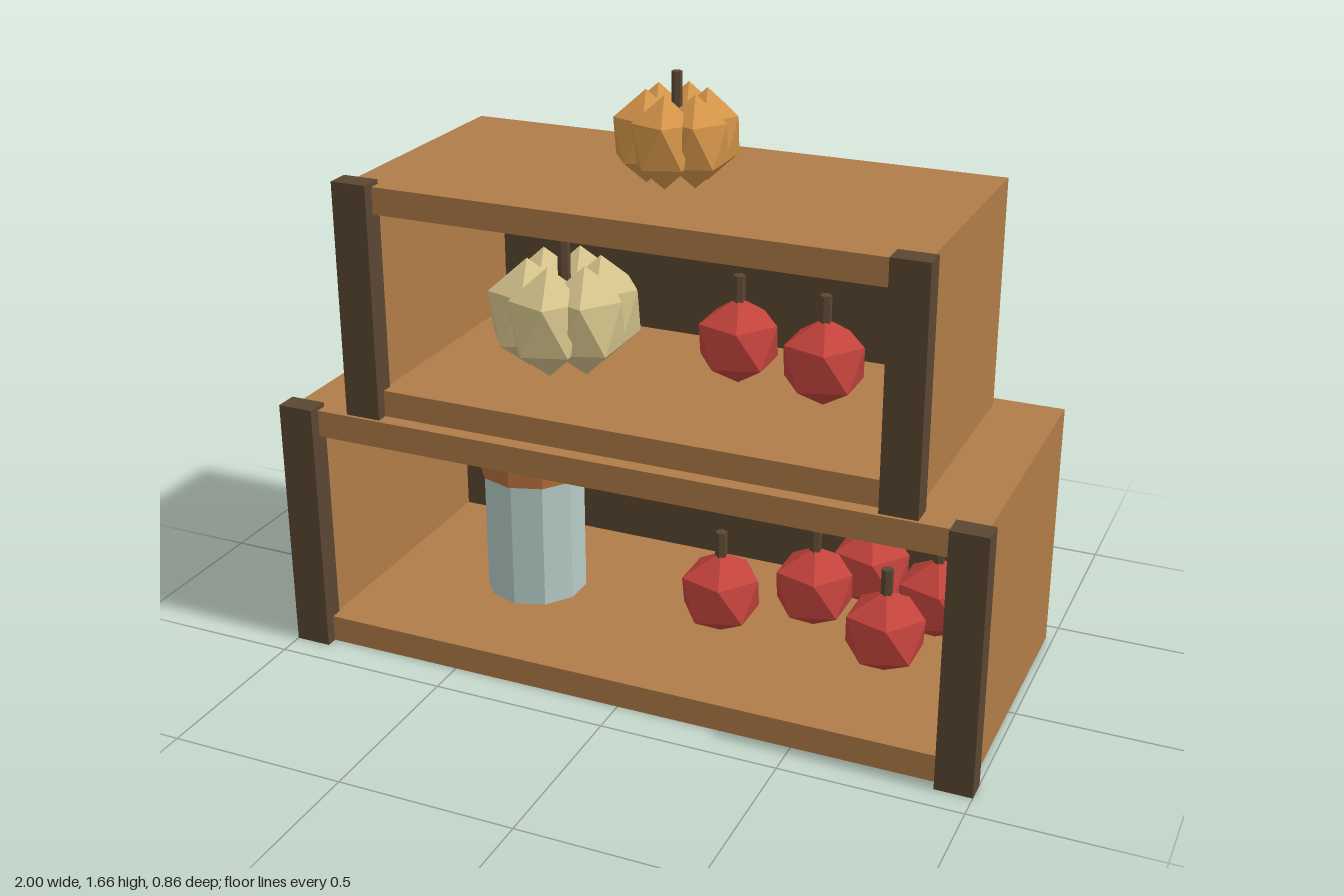
import * as THREE from 'three';
import { ConvexGeometry } from 'three/addons/geometries/ConvexGeometry.js';

const mat = (name, color) => {
  const m = new THREE.MeshStandardMaterial({ color, flatShading: true });
  m.name = name;
  return m;
};

export function createModel() {
  const root = new THREE.Group();
  root.name = 'produceShelf';
  const wood = mat('wood', 0xb17c49);
  const darkWood = mat('darkWood', 0x5a4632);
  const red = mat('appleRed', 0xc5443c);
  const orange = mat('pumpkinOrange', 0xd6964a);
  const cream = mat('gourdCream', 0xd5c48c);
  const glass = mat('glass', 0xb4cbc6);
  const lidWood = mat('lidWood', 0xb06c39);

  const add = (parent, name, geo, material, x = 0, y = 0, z = 0) => {
    const m = new THREE.Mesh(geo, material);
    m.name = name;
    m.position.set(x, y, z);
    parent.add(m);
    return m;
  };

  const group = (name, x = 0, y = 0, z = 0) => {
    const g = new THREE.Group();
    g.name = name;
    g.position.set(x, y, z);
    root.add(g);
    return g;
  };

  // Twelve-point faceted ball with its tips on the vertical axis
  const facetBall = (rx, ry) => {
    const pts = [new THREE.Vector3(0, ry, 0), new THREE.Vector3(0, -ry, 0)];
    const k = 1 / Math.sqrt(5);
    for (let i = 0; i < 5; i++) {
      for (const s of [1, -1]) {
        const a = (i * 2 + (s < 0 ? 1 : 0)) * Math.PI / 5;
        pts.push(new THREE.Vector3(2 * k * rx * Math.cos(a), s * k * ry, 2 * k * rx * Math.sin(a)));
      }
    }
    return new ConvexGeometry(pts);
  };

  const stem = (parent, r, y0, y1) =>
    add(parent, 'stem', new THREE.CylinderGeometry(r, r, y1 - y0, 6), darkWood, 0, (y0 + y1) / 2, 0);

  // Open crate: hollow frame, back panel and two front posts
  const crate = (name, o) => {
    const g = group(name, 0, o.y, 0);
    const rect = (P, x, y0, y1) => {
      const p = new P();
      p.moveTo(-x, y0);
      p.lineTo(x, y0);
      p.lineTo(x, y1);
      p.lineTo(-x, y1);
      p.closePath();
      return p;
    };
    const shape = rect(THREE.Shape, o.w, 0, o.h);
    shape.holes.push(rect(THREE.Path, o.w - o.t, o.t, o.h - o.t));
    add(g, 'frame', new THREE.ExtrudeGeometry(shape, { depth: o.front - o.back, bevelEnabled: false }),
      wood, 0, 0, o.back);
    add(g, 'backPanel', new THREE.BoxGeometry(2 * (o.w - o.t), o.h - 2 * o.t, 0.02),
      darkWood, 0, o.h / 2, o.back + 0.01);
    for (const s of [-1, 1]) {
      add(g, s > 0 ? 'leftPost' : 'rightPost', new THREE.BoxGeometry(0.102, o.h + 0.012, 0.065),
        darkWood, s * (o.w - 0.031), (o.h + 0.012) / 2, o.front + 0.0);
    }
  };
  crate('lowerCrate', { w: 0.98, h: 0.72, t: 0.077, y: 0, back: -0.43, front: 0.396 });
  crate('upperCrate', { w: 0.79, h: 0.65, t: 0.075, y: 0.72, back: -0.388, front: 0.354 });

  // Pumpkins: six overlapping lobes around a stem
  const pumpkin = (name, material, scale, x, y, z) => {
    const g = group(name, x, y, z);
    const geo = facetBall(0.097, 0.125);
    for (let i = 0; i < 6; i++) {
      const a = i * Math.PI / 3;
      add(g, 'lobe', geo, material, 0.08 * Math.sin(a), 0.125, 0.08 * Math.cos(a));
    }
    stem(g, 0.014, 0.12, 0.295);
    g.scale.setScalar(scale);
  };
  pumpkin('orangePumpkin', orange, 1, 0, 1.37, -0.01);
  pumpkin('paleGourd', cream, 1.27, -0.342, 0.795, -0.02);

  // Apples on both shelves
  const appleGeo = facetBall(0.125, 0.124);
  const apples = [
    [0.15, 0.077, 0.025], [0.38, 0.077, -0.11], [0.49, 0.077, -0.29],
    [0.64, 0.077, 0.05], [0.717, 0.077, -0.18],
    [0.15, 0.795, -0.085], [0.415, 0.795, -0.03],
  ];
  for (const p of apples) {
    const g = group('apple', ...p);
    add(g, 'fruit', appleGeo, red, 0, 0.124, 0);
    stem(g, 0.017, 0.2, 0.311);
  }

  // Glass jar with lid
  const jar = group('jar', -0.457, 0.077, -0.025);
  add(jar, 'jarBody', new THREE.CylinderGeometry(0.146, 0.146, 0.38, 10), glass, 0, 0.19, 0);
  add(jar, 'jarLid', new THREE.CylinderGeometry(0.158, 0.158, 0.047, 10), lidWood, 0, 0.4, 0);

  return root;
}
